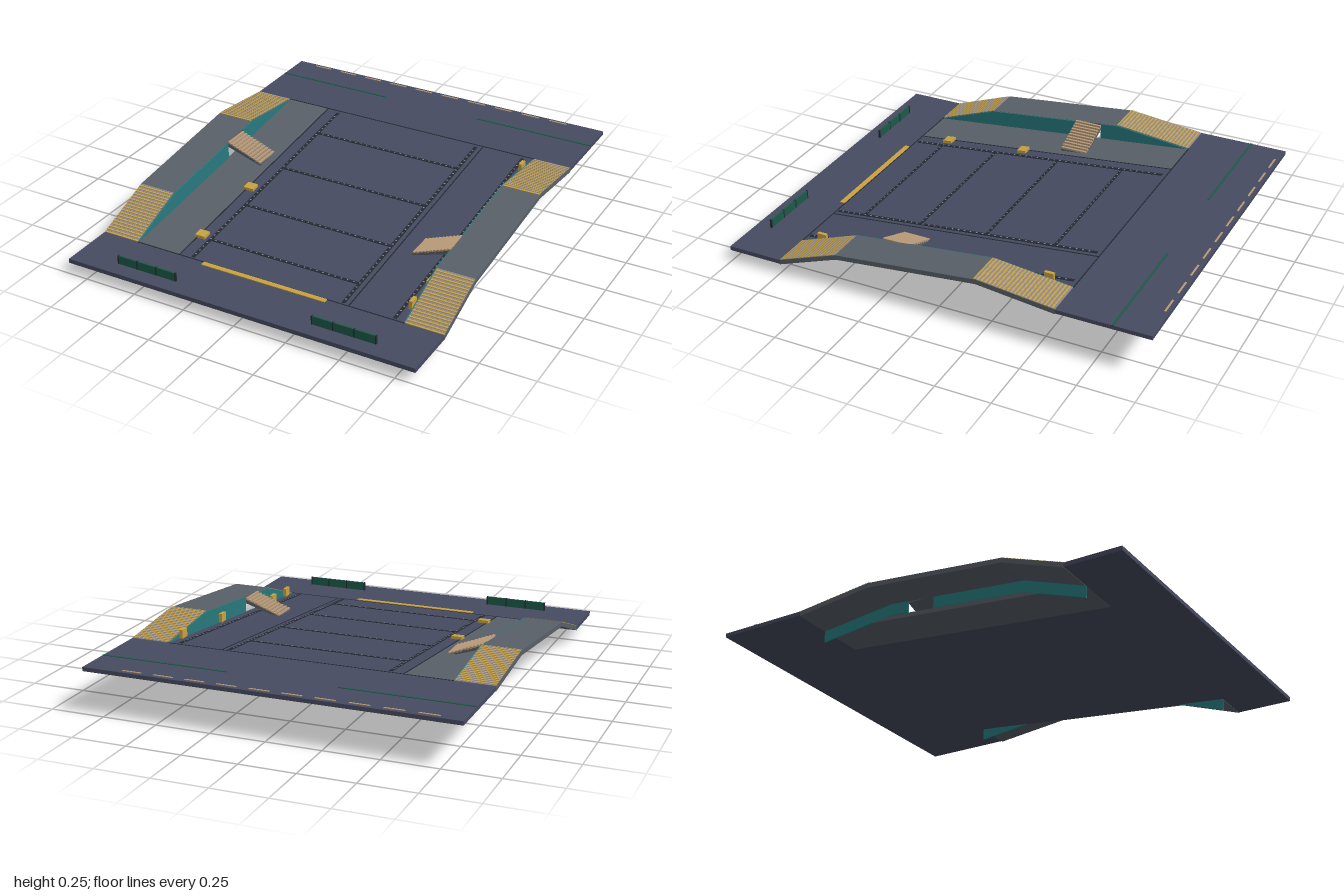
import * as THREE from 'three';
import { mergeGeometries } from 'three/addons/utils/BufferGeometryUtils.js';

const mat = (name, color) => {
  const m = new THREE.MeshStandardMaterial({ color });
  m.name = name;
  return m;
};

export function createModel() {
  const slate = mat('slate floor', 0x474b61);
  const grey = mat('concrete grey', 0x5a6169);
  const teal = mat('teal wall', 0x277a7e);
  const gold = mat('gold', 0xcaa341);
  const tan = mat('tan tread', 0xb89a78);
  const dark = mat('dark grate', 0x252a33);
  const lilac = mat('pale lilac', 0x8b8795);
  const green = mat('green', 0x1d5a48);

  const root = new THREE.Group();
  const add = (name, geo, material) => {
    const mesh = new THREE.Mesh(geo, material);
    mesh.name = name;
    root.add(mesh);
  };

  // Box given by its limits, without an index so it merges with extrusions
  const box = (x0, x1, y0, y1, z0, z1) =>
    new THREE.BoxGeometry(x1 - x0, y1 - y0, z1 - z0).toNonIndexed()
      .translate((x0 + x1) / 2, (y0 + y1) / 2, (z0 + z1) / 2);

  // Height of the sloping floor and of the raised side walkways
  const floorY = z => 0.08 + (0.74 - z) * 0.135 / 1.32;
  const bends = [[0.74, 0.08], [0.45, 0.185], [-0.22, 0.255], [-0.58, 0.215]];
  const walkY = z => {
    for (let i = 0; i < 3; i++) {
      const [za, ya] = bends[i], [zb, yb] = bends[i + 1];
      if (z >= zb - 1e-6) return ya + (yb - ya) * (za - z) / (za - zb);
    }
    return 0.215;
  };

  // Slab following a height rule from z0 (front) to z1 (back)
  const slab = (x0, x1, z0, z1, height, top, bottom) => {
    const zs = [z0, ...bends.map(b => b[0]).filter(z => z < z0 - 1e-6 && z > z1 + 1e-6), z1];
    const pts = [
      ...zs.map(z => new THREE.Vector2(-z, height(z) + top)),
      ...zs.reverse().map(z => new THREE.Vector2(-z, height(z) + bottom)),
    ];
    return new THREE.ExtrudeGeometry(new THREE.Shape(pts), { depth: x1 - x0, bevelEnabled: false })
      .rotateY(Math.PI / 2).translate(x0, 0, 0);
  };

  // Landings and sloping floor
  add('frontLanding', box(-0.84, 0.84, 0.06, 0.08, 0.74, 1), slate);
  add('backLanding', box(-0.84, 0.84, 0.197, 0.215, -1, -0.58), slate);
  add('slopingFloor', slab(-0.44, 0.66, 0.74, -0.58, floorY, 0, -0.02), slate);
  add('floorSideStrip', slab(-0.66, -0.44, 0.74, -0.58, floorY, 0, -0.02), grey);

  // Dark joints between floor panels
  const joints = [-0.44, 0.4].map(x => slab(x - 0.003, x + 0.003, 0.74, -0.58, floorY, 0.001, -0.002));
  joints.push(box(-0.66, 0.66, 0.079, 0.081, 0.737, 0.743));
  joints.push(box(-0.66, 0.66, 0.214, 0.216, -0.583, -0.577));
  add('floorJoints', mergeGeometries(joints), dark);

  // Floor grates with small pale slots
  const grates = [], slots = [];
  for (const x of [-0.375, 0.37, 0.61]) {
    grates.push(slab(x - 0.008, x + 0.008, 0.73, -0.56, floorY, 0.002, -0.002));
    for (let z = 0.71; z > -0.55; z -= 0.03)
      slots.push(slab(x - 0.004, x + 0.004, z, z - 0.006, floorY, 0.003, 0));
  }
  for (const z of [-0.36, -0.03, 0.3, 0.59]) {
    grates.push(slab(-0.367, 0.362, z + 0.007, z - 0.007, floorY, 0.002, -0.002));
    for (let x = -0.35; x < 0.355; x += 0.03)
      slots.push(slab(x, x + 0.006, z + 0.003, z - 0.003, floorY, 0.003, 0));
  }
  add('floorGrates', mergeGeometries(grates), dark);
  add('grateSlots', mergeGeometries(slots), lilac);

  // Raised walkways, walls with an opening, and side stairs
  const sides = [
    { name: 'left', s: 1, open: [0.32, 0.19] },
    { name: 'right', s: -1, open: [0, -0.13] },
  ];
  for (const { name, s, open } of sides) {
    const span = (a, b) => (s > 0 ? [a, b] : [-b, -a]);
    add(name + 'Walkway', slab(...span(0.66, 0.84), 0.74, -0.58, walkY, 0, -0.022), grey);
    add(name + 'Wall', mergeGeometries([
      slab(...span(0.655, 0.661), 0.74, open[0], walkY, -0.001, -0.076),
      slab(...span(0.655, 0.661), open[1], -0.58, walkY, -0.001, -0.076),
    ]), teal);

    // Striped steps on the sloping ends of the walkway
    const treads = [], nosings = [];
    for (const [za, zb, n] of [[0.74, 0.45, 18], [-0.21, -0.58, 22]]) {
      const d = (za - zb) / n;
      for (let i = 0; i < n; i++) {
        const z = za - i * d;
        nosings.push(slab(...span(0.662, 0.838), z, z - d * 0.42, walkY, 0.003, -0.002));
        treads.push(slab(...span(0.662, 0.838), z - d * 0.5, z - d * 0.92, walkY, 0.002, -0.002));
      }
    }
    // A step crossing a bend has extra faces, which merge the same way
    add(name + 'StepNosings', mergeGeometries(nosings), gold);
    add(name + 'StepTreads', mergeGeometries(treads), lilac);

    // Side stair from the walkway down to the floor
    const mid = (open[0] + open[1]) / 2, yTop = walkY(mid), yLow = floorY(mid);
    const profile = new THREE.Shape([
      new THREE.Vector2(s * 0.66, yTop - 0.006), new THREE.Vector2(s * 0.48, yLow + 0.004),
      new THREE.Vector2(s * 0.48, yLow - 0.006), new THREE.Vector2(s * 0.66, yTop - 0.024),
    ]);
    add(name + 'StairBase', new THREE.ExtrudeGeometry(profile, { depth: open[0] - open[1], bevelEnabled: false })
      .translate(0, 0, open[1]), grey);
    const stair = [];
    for (let i = 0; i < 11; i++) {
      const t = (i + 0.5) / 11, x = 0.66 - 0.18 * t, y = yTop + (yLow + 0.006 - yTop) * t;
      stair.push(box(...span(x - 0.006, x + 0.006), y - 0.007, y + 0.003, open[1], open[0]));
    }
    add(name + 'StairTreads', mergeGeometries(stair), tan);
  }

  // Small gold fittings along the wall and the side strip
  const fittings = [[0.64, 0.02], [0.48, -0.03], [-0.08, -0.03], [-0.465, 0.02]].map(([z, up]) =>
    box(0.638, 0.654, walkY(z) + up - 0.04, walkY(z) + up, z - 0.022, z + 0.022));
  for (const z of [0.175, 0.58])
    fittings.push(slab(-0.45, -0.4, z + 0.022, z - 0.022, floorY, 0.014, 0));
  add('goldFittings', mergeGeometries(fittings), gold);
  add('frontWarningStrip', box(-0.31, 0.3, 0.079, 0.084, 0.742, 0.766), gold);

  // Green panels on the front landing and stripes on the back one
  const panels = [], posts = [];
  for (const s of [-1, 1]) {
    panels.push(box(s * 0.48 - 0.147, s * 0.48 + 0.147, 0.08, 0.12, 0.921, 0.929));
    for (let i = 0; i < 4; i++) {
      const x = s * 0.48 - 0.147 + i * 0.098;
      posts.push(box(x - 0.003, x + 0.003, 0.08, 0.121, 0.92, 0.93));
    }
    panels.push(box(s * 0.545 - 0.295, s * 0.545 + 0.295, 0.213, 0.217, -0.835, -0.825));
  }
  add('greenPanels', mergeGeometries(panels), green);
  add('panelPosts', mergeGeometries(posts), dark);

  // Dashed line near the back edge
  const dashes = [];
  for (let i = 0; i < 10; i++) {
    const x = -0.74 + i * 0.1455;
    dashes.push(box(x, x + 0.09, 0.213, 0.218, -0.984, -0.976));
  }
  add('backDashes', mergeGeometries(dashes), tan);

  return root;
}
